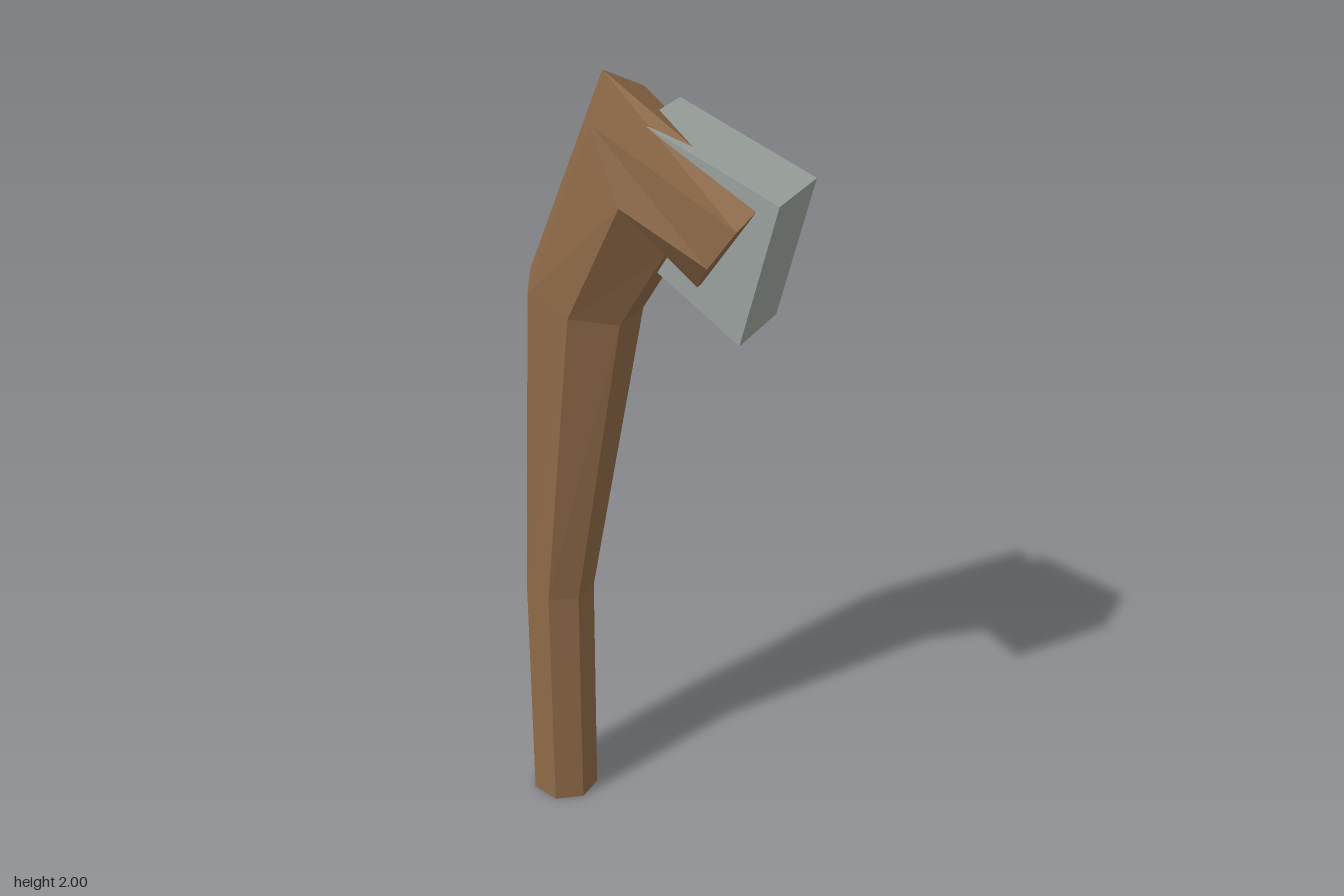
import * as THREE from 'three';

// Closed faceted solid through rings of equal point count
function loft(rings) {
  const pos = [];
  const tri = (...pts) => pts.forEach((p) => pos.push(p.x, p.y, p.z));
  const n = rings[0].length;
  for (let k = 0; k < rings.length - 1; k++) {
    for (let i = 0; i < n; i++) {
      const j = (i + 1) % n;
      const a = rings[k][i], b = rings[k][j], c = rings[k + 1][j], d = rings[k + 1][i];
      tri(a, d, b);
      tri(b, d, c);
    }
  }
  const first = rings[0], last = rings[rings.length - 1];
  for (let i = 1; i < n - 1; i++) {
    tri(first[0], first[i], first[i + 1]);
    tri(last[0], last[i + 1], last[i]);
  }
  const geo = new THREE.BufferGeometry();
  geo.setAttribute('position', new THREE.Float32BufferAttribute(pos, 3));
  geo.computeVertexNormals();
  return geo;
}

// Seven-sided section with one corner on the outside of the bend
function section([center, across, side]) {
  const c = new THREE.Vector3(...center);
  const a = new THREE.Vector3(...across);
  const b = new THREE.Vector3(...side);
  return Array.from({ length: 7 }, (_, i) => {
    const t = Math.PI + (i * Math.PI * 2) / 7;
    return c.clone().addScaledVector(a, Math.cos(t)).addScaledVector(b, Math.sin(t));
  });
}

export function createModel() {
  const group = new THREE.Group();
  const wood = new THREE.MeshStandardMaterial({ color: 0x8f6a48 });
  wood.name = 'wood';
  const stone = new THREE.MeshStandardMaterial({ color: 0x9ba39f });
  stone.name = 'stone';
  wood.flatShading = stone.flatShading = true;

  // Handle: straight grip, swelling neck, then a short hooked end
  const sections = [
    [[-0.243, 0, 0.019], [0.087, 0, 0], [0, 0, 0.084]],
    [[-0.243, 0.65, 0.02], [0.087, -0.01, 0], [0, 0, 0.087]],
    [[-0.158, 1.468, 0.018], [0.142, -0.031, 0], [0, 0, 0.125]],
    [[-0.01, 1.81, 0], [0.1, -0.19, 0], [0.012, 0, 0.172]],
    [[0.21, 1.658, 0], [-0.07, -0.107, 0], [0.007, 0.005, 0.1]],
  ];
  const handle = new THREE.Mesh(loft(sections.map(section)), wood);
  handle.name = 'handle';
  group.add(handle);

  // Blade: slightly tapered block sunk into the back of the hook
  const end = (top, bottom, front, back) => [
    new THREE.Vector3(...bottom, front),
    new THREE.Vector3(...top, front),
    new THREE.Vector3(...top, back),
    new THREE.Vector3(...bottom, back),
  ];
  const blade = new THREE.Mesh(loft([
    end([0, 1.912], [-0.07, 1.645], 0.034, -0.15),
    end([0.328, 1.778], [0.243, 1.43], 0.016, -0.171),
  ]), stone);
  blade.name = 'blade';
  group.add(blade);

  return group;
}
